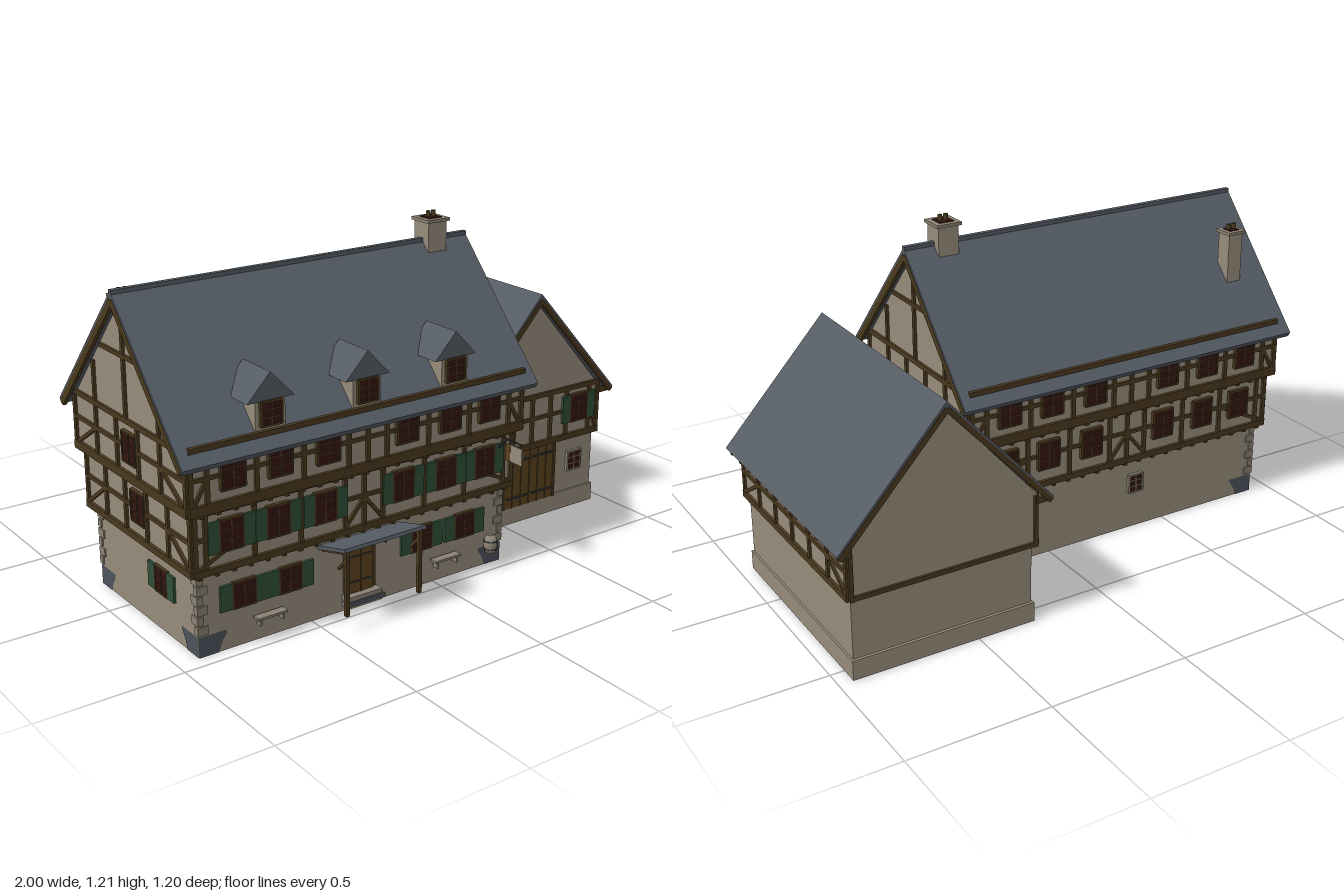
import * as THREE from 'three';

const paint = (name, color) => Object.assign(new THREE.MeshStandardMaterial({ color }), { name });
const M = {
  plaster: paint('plaster', 0x978c7b), slate: paint('slate', 0x555c64), timber: paint('timber', 0x4a391f),
  glass: paint('darkWindow', 0x341511), green: paint('shutterGreen', 0x2f5039), wood: paint('doorWood', 0x5c431f),
  iron: paint('iron', 0x2f3338), stone: paint('stone', 0x8a8172), base: paint('baseStone', 0x4c525d),
};

function add(parent, name, geo, mat, x = 0, y = 0, z = 0) {
  const m = new THREE.Mesh(geo, mat);
  m.name = name;
  m.position.set(x, y, z);
  parent.add(m);
  return m;
}
// box given by its limits
const box = (p, name, mat, x0, x1, y0, y1, z0, z1) =>
  add(p, name, new THREE.BoxGeometry(x1 - x0, y1 - y0, z1 - z0), mat, (x0 + x1) / 2, (y0 + y1) / 2, (z0 + z1) / 2);

// straight timber between two points of a facade
function beam(p, u0, v0, u1, v1, w = 0.02, mat = M.timber, t = 0.014, z = 0) {
  const m = add(p, 'beam', new THREE.BoxGeometry(Math.hypot(u1 - u0, v1 - v0), w, t), mat, (u0 + u1) / 2, (v0 + v1) / 2, z);
  m.rotation.z = Math.atan2(v1 - v0, u1 - u0);
  return m;
}
// facade group: local x runs along the wall, local z points outward
function facade(p, name, x, z, turn) {
  const g = new THREE.Group();
  g.name = name;
  g.position.set(x, 0, z);
  g.rotation.y = turn * Math.PI / 2;
  p.add(g);
  return g;
}
const polygon = pts => new THREE.Shape(pts.map(p => new THREE.Vector2(...p)));
const extrude = (pts, depth) => new THREE.ExtrudeGeometry(polygon(pts), { depth, bevelEnabled: false });

// gable roof profile, half width hw, ridge and eave heights, thickness t
const roofProfile = (hw, ridge, eave, t) => [[0, ridge], [-hw, eave], [-hw + 0.012, eave - 0.018],
  [0, ridge - t], [hw - 0.012, eave - 0.018], [hw, eave]];

// window with frame, cross bars and optional shutters
function windowAt(p, u, v, w, h, shutter = 0, frame = M.timber) {
  const g = new THREE.Group();
  g.name = 'window';
  g.position.set(u, v, 0);
  p.add(g);
  box(g, 'pane', M.glass, -w / 2, w / 2, -h / 2, h / 2, 0, 0.008);
  for (const s of [-1, 1]) {
    beam(g, s * w / 2, -h / 2, s * w / 2, h / 2, 0.006, frame, 0.014, 0.004);
    beam(g, -w / 2, s * h / 2, w / 2, s * h / 2, 0.006, frame, 0.014, 0.004);
    beam(g, -w / 2, s * h / 6, w / 2, s * h / 6, 0.003, frame, 0.004, 0.008);
    if (shutter) box(g, 'shutter', M.green, s * (w / 2 + 0.003 + shutter / 2) - shutter / 2,
      s * (w / 2 + 0.003 + shutter / 2) + shutter / 2, -h / 2, h / 2, 0.002, 0.011);
  }
  beam(g, 0, -h / 2, 0, h / 2, 0.004, frame, 0.004, 0.008);
}

// timber framing of one storey, centred on the facade
function framing(p, hw, y0, y1, rail, posts, lower = 0.022) {
  beam(p, -hw, y0 + lower / 2, hw, y0 + lower / 2, lower, M.timber, 0.018);
  beam(p, -hw, y1 - 0.009, hw, y1 - 0.009, 0.018);
  beam(p, -hw, rail, hw, rail, 0.013);
  for (const u of posts) beam(p, u, y0, u, y1, 0.015);
  for (const s of [-1, 1]) {
    const inner = s * Math.max(...posts.filter(u => u < hw - 0.05));
    beam(p, s * (hw - 0.008), y0, s * (hw - 0.008), y1, 0.016);
    beam(p, s * (hw - 0.01), y0 + 0.02, inner, rail, 0.012);
  }
}
const mirrored = list => list.flatMap(u => [u, -u]);

export function createModel() {
  const model = new THREE.Group();
  model.name = 'timberFramedHouse';
  const H = new THREE.Group(), B = new THREE.Group();
  H.name = 'mainHouse';
  B.name = 'barn';
  model.add(H, B);
  const cx = -0.31, cz = 0.125;

  // masonry ground floor over an open foundation ring
  box(H, 'groundFloor', M.plaster, -0.92, 0.30, 0.055, 0.29, -0.20, 0.45);
  for (const z of [-0.20, 0.44]) box(H, 'foundation', M.plaster, -0.92, 0.30, 0, 0.055, z, z + 0.01);
  for (const x of [-0.92, 0.29]) box(H, 'foundation', M.plaster, x, x + 0.01, 0, 0.055, -0.19, 0.44);
  box(H, 'middleFloor', M.plaster, -0.943, 0.323, 0.285, 0.5, -0.223, 0.473);

  // top floor with gables, running along x
  const across = facade(H, 'topFloorAndRoof', 0, cz, 1);
  add(across, 'topFloor', extrude([[-0.368, 0.49], [0.368, 0.49], [0.368, 0.69], [0, 1.085], [-0.368, 0.69]], 1.306), M.plaster, 0, 0, -0.963);
  add(across, 'mainRoof', extrude(roofProfile(0.407, 1.115, 0.665, 0.026), 1.38), M.slate, 0, 0, -1);
  box(H, 'ridgeCap', M.slate, -1, 0.38, 1.103, 1.119, cz - 0.009, cz + 0.009);
  for (const s of [-1, 1]) box(H, 'snowGuard', M.timber, -0.96, 0.345, 0.70, 0.716, cz + s * 0.372 - 0.007, cz + s * 0.372 + 0.007);

  // long facades: two framed storeys with windows
  const winX = mirrored([0.155, 0.333, 0.502]);
  const postsX = mirrored([0.0, 0.075, 0.245, 0.417, 0.59]);
  for (const [turn, s] of [[0, 1], [2, -1]]) {
    const a = facade(H, 'middleLongFacade', cx, cz + s * 0.35, turn);
    framing(a, 0.635, 0.285, 0.5, 0.405, postsX);
    const b = facade(H, 'upperLongFacade', cx, cz + s * 0.37, turn);
    framing(b, 0.655, 0.495, 0.70, 0.61, postsX, 0.034);
    for (const u of winX) {
      windowAt(a, u, 0.405, 0.085, 0.105, s > 0 ? 0.038 : 0);
      windowAt(b, u, 0.61, 0.085, 0.1);
    }
    for (const k of [-1, 1]) beam(a, k * 0.075, 0.31, 0, 0.40, 0.012);
    for (let i = 0; i <= 20; i++) {
      const u = -0.61 + i * 0.061;
      box(a, 'joistEnd', M.timber, u - 0.007, u + 0.007, 0.272, 0.286, -0.025, 0);
      box(b, 'joistEnd', M.timber, u - 0.007, u + 0.007, 0.482, 0.496, -0.02, 0);
    }
  }
  // gable facades
  for (const [turn, s] of [[1, 1], [-1, -1]]) {
    const a = facade(H, 'middleGableFacade', cx + s * 0.635, cz, turn);
    framing(a, 0.35, 0.285, 0.5, 0.40, mirrored([0.07, 0.205]));
    const b = facade(H, 'upperGableFacade', cx + s * 0.655, cz, turn);
    framing(b, 0.37, 0.495, 0.705, 0.61, mirrored([0.07, 0.21]), 0.03);
    beam(b, 0, 0.70, 0, 1.08, 0.015);
    beam(b, -0.155, 0.905, 0.155, 0.905, 0.014);
    for (const k of [-1, 1]) {
      beam(b, k * 0.21, 0.70, k * 0.21, 0.84, 0.014);
      const v = facade(H, 'vergeBoard', cx + s * 0.684, cz, turn);
      beam(v, k * 0.392, 0.652, 0, 1.085, 0.024);
    }
    if (s < 0) {
      windowAt(a, 0.02, 0.405, 0.085, 0.105);
      windowAt(b, 0.02, 0.61, 0.085, 0.1);
    }
  }

  // ground floor openings
  const front = facade(H, 'groundFront', 0, 0.45, 0);
  for (const u of [-0.757, -0.585, -0.056, 0.13]) windowAt(front, u, 0.18, 0.085, 0.088, 0.042);
  const back = facade(H, 'groundBack', 0, -0.20, 2);
  for (const u of [-0.09, 0.37]) windowAt(back, u, 0.18, 0.06, 0.07, 0, M.stone);
  windowAt(facade(H, 'groundLeft', -0.92, 0.235, -1), 0, 0.18, 0.08, 0.088, 0.04);

  // corner quoins and base patches
  for (const sx of [-1, 1]) for (const sz of [-1, 1]) {
    const x = cx + sx * 0.61, z = cz + sz * 0.325;
    for (let i = 0; i < 6; i++) {
      const lx = i % 2 ? 0.022 : 0.038, lz = i % 2 ? 0.038 : 0.022;
      add(H, 'quoin', new THREE.BoxGeometry(lx, 0.028, lz), M.stone, x - sx * (lx / 2 - 0.005), 0.09 + i * 0.034, z - sz * (lz / 2 - 0.005));
    }
    const patch = sg => polygon([[0, 0], [sg * 0.07, 0], [sg * 0.08, 0.03], [sg * 0.1, 0.06], [sg * 0.1, 0.07], [0, 0.07]]);
    const fz = facade(H, 'basePatch', x, z + sz * 0.002, sz > 0 ? 0 : 2);
    add(fz, 'basePatchLong', new THREE.ShapeGeometry(patch(-sx * sz)), M.base);
    const fx = facade(H, 'basePatch', x + sx * 0.002, z, sx);
    add(fx, 'basePatchShort', new THREE.ShapeGeometry(patch(sx * sz)), M.base);
  }

  // entrance: door, step, sloping canopy on posts
  box(front, 'doorFrame', M.timber, -0.375, -0.25, 0.06, 0.24, 0, 0.008);
  box(front, 'door', M.wood, -0.36, -0.265, 0.06, 0.225, 0.004, 0.013);
  beam(front, -0.313, 0.06, -0.313, 0.225, 0.005, M.timber, 0.006, 0.013);
  for (const y of [0.1, 0.19]) beam(front, -0.355, y, -0.27, y, 0.005, M.iron, 0.006, 0.013);
  box(front, 'doorStep', M.stone, -0.38, -0.245, 0.02, 0.06, 0, 0.038);
  box(front, 'lowerStep', M.base, -0.38, -0.235, 0.03, 0.045, 0, 0.044);
  const canopy = add(front, 'canopy', new THREE.BoxGeometry(0.325, 0.012, 0.158), M.slate, -0.3125, 0.275, 0.073);
  canopy.rotation.x = -0.27;
  for (const x of [-0.455, -0.165]) {
    box(front, 'canopyPost', M.timber, x - 0.007, x + 0.007, 0.06, 0.28, 0.127, 0.14);
    const brace = facade(front, 'canopyBrace', x, 0, -1);
    beam(brace, 0.133, 0.255, 0.09, 0.21, 0.009, M.timber, 0.01);
    const rafter = facade(front, 'canopyRafter', x, 0, -1);
    beam(rafter, 0, 0.243, 0.14, 0.28, 0.01, M.timber, 0.01);
  }

  // benches, barrel, lantern and hanging sign
  for (const x of [-0.67, 0.04]) {
    box(front, 'benchSeat', M.stone, x - 0.055, x + 0.055, 0.082, 0.09, 0.006, 0.036);
    for (const s of [-1, 1]) box(front, 'benchLeg', M.stone, x + s * 0.042 - 0.004, x + s * 0.042 + 0.004, 0.06, 0.082, 0.01, 0.032);
  }
  const staves = [[0, 0], [0.019, 0], [0.024, 0.018], [0.025, 0.03], [0.024, 0.042], [0.019, 0.06], [0, 0.06]];
  add(front, 'barrel', new THREE.LatheGeometry(staves.map(p => new THREE.Vector2(...p)), 14), M.stone, 0.23, 0.06, 0.033);
  for (const y of [0.076, 0.104]) add(front, 'barrelHoop', new THREE.CylinderGeometry(0.0252, 0.0252, 0.004, 14), M.iron, 0.23, y, 0.033);
  add(front, 'lantern', new THREE.CylinderGeometry(0.007, 0.005, 0.02, 6), M.iron, -0.225, 0.228, 0.03);
  const sign = facade(H, 'hangingSign', 0.255, 0, -1);
  beam(sign, 0.47, 0.487, 0.60, 0.487, 0.004, M.iron, 0.004);
  beam(sign, 0.47, 0.43, 0.525, 0.485, 0.004, M.iron, 0.004);
  box(sign, 'signBoard', M.plaster, 0.52, 0.602, 0.412, 0.472, -0.003, 0.003);
  box(sign, 'signPanel', M.wood, 0.52, 0.545, 0.412, 0.472, -0.004, 0.004);
  for (const u of [0.535, 0.59]) beam(sign, u, 0.472, u, 0.487, 0.002, M.iron, 0.002);

  // dormers
  for (const x of [-0.67, -0.31, 0.045]) {
    box(H, 'dormerWall', M.plaster, x - 0.054, x + 0.054, 0.70, 0.812, 0.38, 0.49);
    add(H, 'dormerRoof', extrude([[-0.085, 0.808], [0.085, 0.808], [0, 0.897]], 0.155), M.slate, x, 0, 0.34);
    windowAt(facade(H, 'dormerFront', x, 0.49, 0), 0, 0.768, 0.075, 0.078);
  }
  // chimneys
  for (const [x, z, r, y0, y1] of [[0.228, 0.125, 0.039, 1.04, 1.175], [-0.85, -0.09, 0.03, 0.82, 1.025]]) {
    box(H, 'chimney', M.plaster, x - r, x + r, y0, y1, z - r, z + r);
    box(H, 'chimneyCap', M.stone, x - r - 0.008, x + r + 0.008, y1, y1 + 0.011, z - r - 0.008, z + r + 0.008);
    box(H, 'flueOpening', M.glass, x - r * 0.7, x + r * 0.7, y1 + 0.008, y1 + 0.014, z - r * 0.7, z + r * 0.7);
    for (const s of [-1, 1]) add(H, 'chimneyPot', new THREE.CylinderGeometry(0.008, 0.009, 0.025, 10), M.timber, x + s * 0.011, y1 + 0.021, z);
  }

  // barn walls and roof
  const bx = 0.62, bz = -0.16;
  box(B, 'barnPlinth', M.plaster, 0.29, 0.95, 0, 0.07, -0.565, 0.245);
  box(B, 'barnGroundFloor', M.plaster, 0.297, 0.943, 0.07, 0.29, -0.555, 0.238);
  add(B, 'barnUpperFloor', extrude([[-0.333, 0.285], [0.333, 0.285], [0.333, 0.475], [0, 0.85], [-0.333, 0.475]], 0.82), M.plaster, bx, 0, -0.572);
  add(B, 'barnRoof', extrude(roofProfile(0.38, 0.882, 0.465, 0.024), 0.88), M.slate, bx, 0, -0.60);
  add(B, 'basePatchBarn', new THREE.ShapeGeometry(polygon([[0.3, 0], [0.365, 0], [0.395, 0.07], [0.3, 0.07]])), M.base, 0, 0, 0.247);

  // barn framing
  const bf = facade(B, 'barnFront', bx, 0.25, 0);
  framing(bf, 0.335, 0.285, 0.495, 0.40, mirrored([0.0, 0.09, 0.17, 0.285]));
  for (const u of [-0.228, 0.228]) {
    windowAt(bf, u, 0.405, 0.085, 0.105, 0.036);
  }
  const bb = facade(B, 'barnBack', bx, -0.573, 2);
  beam(bb, -0.335, 0.295, 0.335, 0.295, 0.016);
  for (const s of [-1, 1]) beam(bb, s * 0.327, 0.285, s * 0.327, 0.47, 0.014);
  for (const [turn, z] of [[0, 0.276], [2, -0.596]]) {
    const v = facade(B, 'barnVerge', bx, z, turn);
    for (const s of [-1, 1]) beam(v, s * 0.37, 0.453, 0, 0.857, 0.018);
  }
  for (const s of [1, -1]) {
    const side = facade(B, 'barnSide', bx + s * 0.334, bz, s);
    framing(side, 0.41, 0.285, 0.475, 0.385, mirrored([0, 0.134, 0.27]));
    for (let i = 0; i < 12; i++) {
      const u = -0.42 + i * 0.0764;
      box(side, 'rafterEnd', M.timber, u - 0.006, u + 0.006, 0.444, 0.464, -0.01, 0.036);
    }
  }

  // barn door and small windows
  const bg = facade(B, 'barnGroundFront', 0, 0.238, 0);
  box(bg, 'barnDoor', M.wood, 0.495, 0.745, 0.065, 0.285, 0, 0.009);
  for (let i = 0; i <= 6; i++) beam(bg, 0.497 + i * 0.041, 0.065, 0.497 + i * 0.041, 0.285, i % 6 ? 0.004 : 0.012, M.timber, 0.008, 0.008);
  for (const y of [0.105, 0.25]) for (const x of [0.51, 0.63]) beam(bg, x, y, x + 0.1, y, 0.007, M.iron, 0.004, 0.013);
  for (const x of [0.388, 0.848]) windowAt(bg, x, 0.188, 0.068, 0.075, 0, M.stone);
  return model;
}
